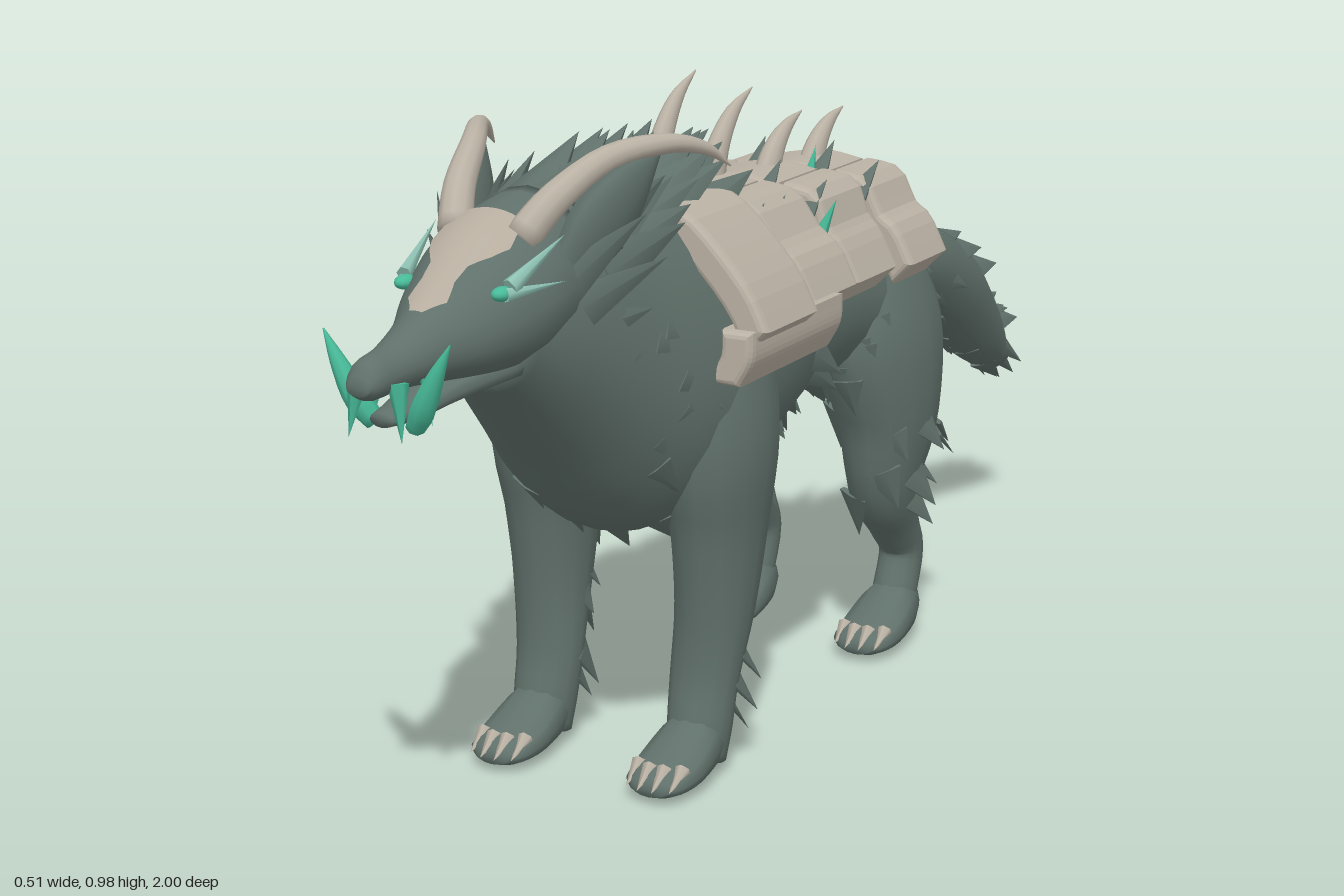
import * as THREE from 'three';
import { mergeGeometries } from 'three/addons/utils/BufferGeometryUtils.js';

const V = (x, y, z) => new THREE.Vector3(x, y, z);
const mat = (name, color, side = THREE.FrontSide) => {
  const m = new THREE.MeshStandardMaterial({ color, side });
  m.name = name;
  return m;
};

// Smooth tube surface through sections [x, y, z, half width, half height]
function surface(secs, axis, taper = 0) {
  const path = new THREE.CatmullRomCurve3(secs.map(s => V(s[0], s[1], s[2])), false, 'catmullrom');
  const size = new THREE.CatmullRomCurve3(secs.map(s => V(s[3], s[4], 0)), false, 'catmullrom');
  return (u, a) => {
    const t = axis ? axis.clone() : path.getTangent(u);
    const right = V(1, 0, 0).addScaledVector(t, -t.x).normalize();
    const up = t.clone().cross(right);
    const r = size.getPoint(u);
    const w = Math.max(r.x, 0.001) * (1 - taper * Math.sin(a));
    return path.getPoint(u)
      .addScaledVector(right, w * Math.cos(a))
      .addScaledVector(up, Math.max(r.y, 0.001) * Math.sin(a));
  };
}

// Closed skin over a surface
function skin(f, rings = 24, sides = 16) {
  const pos = [], idx = [];
  for (let i = 0; i <= rings; i++)
    for (let j = 0; j < sides; j++) pos.push(...f(i / rings, j / sides * Math.PI * 2).toArray());
  const n = (rings + 1) * sides;
  for (const u of [0, 1]) pos.push(...f(u, 0).add(f(u, Math.PI)).multiplyScalar(0.5).toArray());
  for (let j = 0; j < sides; j++) {
    const k = (j + 1) % sides, e = rings * sides;
    for (let i = 0; i < rings; i++) {
      const p = i * sides, q = p + sides;
      idx.push(p + j, p + k, q + j, p + k, q + k, q + j);
    }
    idx.push(n, k, j, n + 1, e + j, e + k);
  }
  const g = new THREE.BufferGeometry();
  g.setAttribute('position', new THREE.Float32BufferAttribute(pos, 3));
  g.setIndex(idx);
  g.computeVertexNormals();
  return g;
}

// Upright sections [z, top, bottom, half width]
const upright = (list, x = 0, dz = 0) =>
  list.map(([z, t, b, w]) => [x, (t + b) / 2, z + dz, w, (t - b) / 2]);

// Flattened pointed tuft from base to tip, lying across the normal
function tuft(base, tip, width, normal, flat = 0.3) {
  const y = tip.clone().sub(base), len = y.length();
  y.normalize();
  const x = y.clone().cross(normal).normalize();
  const g = new THREE.ConeGeometry(width, len, 6, 1);
  g.translate(0, len / 2, 0).scale(1, 1, flat);
  g.applyMatrix4(new THREE.Matrix4().makeBasis(x, y, x.clone().cross(y)).setPosition(base));
  return g;
}

export function createModel() {
  const root = new THREE.Group();
  const fur = mat('fur', 0x60706a), bone = mat('bone', 0xbab1a4), teal = mat('teal', 0x48bb99);
  const boneSheet = mat('face bone', 0xb6ad9f, THREE.DoubleSide);
  const pale = mat('pale teal', 0x92c6b7);
  const add = (name, g, m) => {
    const mesh = new THREE.Mesh(g, m);
    mesh.name = name;
    root.add(mesh);
    return mesh;
  };
  let seed = 7;
  const rnd = () => (seed = (seed * 16807) % 2147483647) / 2147483647;
  const Z = V(0, 0, 1), tufts = [];

  // Torso and neck
  const body = surface(upright([
    [-.44, .64, .50, .06], [-.38, .67, .44, .13], [-.28, .725, .42, .17], [-.12, .765, .45, .165],
    [.02, .78, .44, .165], [.18, .81, .40, .19], [.32, .85, .355, .20], [.42, .87, .355, .185],
    [.50, .88, .405, .158], [.58, .88, .49, .134], [.66, .86, .575, .11], [.73, .83, .645, .08]]), Z, 0.12);
  add('body', skin(body, 44, 28), fur);

  // Head and lower jaw
  const head = surface(upright([
    [.60, .885, .67, .105], [.68, .868, .665, .11], [.74, .845, .66, .10], [.80, .808, .665, .078],
    [.86, .77, .675, .05], [.93, .742, .682, .034], [.98, .733, .68, .027], [1.0, .71, .69, .016]]), Z, 0.1);
  add('head', skin(head, 28, 20), fur);
  add('lowerJaw', skin(surface(upright([
    [.70, .71, .645, .075], [.82, .685, .64, .045], [.90, .665, .635, .03], [.95, .658, .638, .018]]), Z), 10, 12), fur);

  // Bone mask along the forehead
  const maskWidth = [0.5, 0.58, 0.66, 0.55, 0.36, 0.36, 0.52, 0.2];
  const mask = new THREE.PlaneGeometry(1, 1, 10, 28), mp = mask.attributes.position;
  for (let i = 0; i < mp.count; i++) {
    const v = mp.getY(i) + 0.5, k = Math.min(6.999, v * 7), n = Math.floor(k);
    const hw = THREE.MathUtils.lerp(maskWidth[n], maskWidth[n + 1], k - n);
    const p = head(0.16 + v * 0.42, Math.PI / 2 - mp.getX(i) * 2 * hw);
    const out = V(p.x, p.y - 0.74, 0.05).normalize();
    mp.setXYZ(i, ...p.addScaledVector(out, 0.006).toArray());
  }
  mask.computeVertexNormals();
  add('faceMask', mask, boneSheet);

  // Tail with ragged tip
  const tail = surface([
    [0, .59, -.34, .10, .09], [0, .572, -.48, .066, .07], [0, .535, -.62, .072, .076],
    [0, .468, -.75, .072, .077], [0, .375, -.87, .058, .06], [0, .305, -.95, .042, .03]]);
  add('tail', skin(tail, 24, 14), fur);
  for (let i = 0; i < 10; i++) {
    const a = i / 10 * Math.PI * 2, c = Math.cos(a), s = Math.sin(a);
    tufts.push(tuft(V(c * .035, .36 + s * .03, -.88), V(c * .048, .285 + s * .03, -.998 + rnd() * .03), .028, V(c, s, .1)));
  }

  // Fur scattered over a surface, brushed along a direction
  function scatter(f, count, u0, u1, brush, len, keep = () => true) {
    for (let i = 0; i < count; i++) {
      const u = u0 + rnd() * (u1 - u0), a = rnd() * Math.PI * 2, l = len * (0.6 + rnd() * 0.7);
      const p = f(u, a), c = f(u, 0).add(f(u, Math.PI)).multiplyScalar(0.5);
      const out = p.clone().sub(c).normalize();
      if (!keep(p)) continue;
      const dir = brush.clone().addScaledVector(out, 0.2).normalize();
      tufts.push(tuft(p.clone().addScaledVector(out, -0.006), p.clone().addScaledVector(dir, l), l * 0.45, out, 0.22));
    }
  }
  const underPlates = p => p.z < 0.43 && p.z > -0.31 && p.y > 0.58;
  scatter(body, 90, 0.03, 0.8, V(0, -0.5, -0.8), 0.055, p => !underPlates(p));
  scatter(body, 45, 0.02, 0.25, V(0, -0.5, -0.8), 0.065, p => !underPlates(p));
  scatter(tail, 36, 0.05, 0.95, V(0, -0.35, -0.9), 0.06);

  const pawShape = [[.33, .08, .015, .025], [.38, .10, 0, .045], [.45, .066, 0, .054], [.50, .046, .004, .047], [.52, .03, .01, .025]];
  for (const s of [1, -1]) {
    const side = s > 0 ? 'left' : 'right';
    const flip = list => list.map(([x, ...r]) => [x * s, ...r]);
    // Legs
    const front = surface(flip([
      [.12, .64, .30, .075, .11], [.137, .49, .325, .08, .115], [.138, .36, .325, .066, .09],
      [.136, .24, .335, .057, .064], [.13, .14, .355, .052, .043], [.13, .07, .37, .048, .045], [.13, .02, .38, .042, .045]]));
    const hind = surface(flip([
      [.09, .65, -.235, .07, .11], [.12, .52, -.24, .085, .15], [.135, .39, -.24, .075, .115],
      [.135, .28, -.23, .055, .075], [.13, .20, -.275, .042, .045], [.13, .14, -.31, .036, .036],
      [.13, .07, -.285, .036, .036], [.13, .02, -.265, .034, .035]]));
    add(side + 'FrontLeg', skin(front, 24, 14), fur);
    add(side + 'HindLeg', skin(hind, 28, 14), fur);
    scatter(front, 36, 0.15, 0.75, V(s * .1, -0.9, -0.35), 0.06, p => p.z < 0.34);
    scatter(hind, 34, 0.1, 0.5, V(s * .1, -0.8, -0.5), 0.06);

    // Paws and claws
    for (const dz of [0, -.66]) {
      add(side + 'Paw', skin(surface(upright(pawShape, .13 * s, dz), Z), 12, 12), fur);
      for (let i = 0; i < 4; i++) {
        const x = s * .13 + (i - 1.5) * .023, z = .512 + dz - Math.abs(i - 1.5) * .01;
        add('claw', tuft(V(x, .044, z - .015), V(x, .022, z + .026), .0125, V(0, 1, 0), 0.9), bone);
      }
    }

    // Swept horns
    add(side + 'Horn', skin(surface(flip([
      [.05, .835, .70, .024, .026], [.075, .885, .65, .022, .022], [.105, .925, .57, .018, .018],
      [.148, .936, .49, .014, .014], [.175, .922, .43, .009, .009], [.19, .892, .385, .001, .001]])), 20, 10), bone);

    // Ears and cheek ruffs
    add(side + 'Ear', skin(surface(flip([
      [.08, .78, .65, .02, .03], [.10, .83, .60, .028, .058], [.12, .88, .545, .022, .046], [.14, .925, .49, .001, .001]])), 14, 10), fur);
    for (const [b, t, w] of [
      [[.08, .80, .60], [.125, .885, .45], .055], [[.10, .77, .58], [.15, .82, .44], .05],
      [[.09, .77, .66], [.165, .858, .57], .035], [[.09, .73, .65], [.19, .80, .56], .04],
      [[.09, .70, .64], [.15, .72, .53], .045], [[.08, .67, .62], [.125, .645, .52], .045]])
      tufts.push(tuft(V(b[0] * s, b[1], b[2]), V(t[0] * s, t[1], t[2]), w, V(s, .2, .5)));

    // Eyes and pale streaks
    const eye = add(side + 'Eye', new THREE.SphereGeometry(.013, 12, 8), teal);
    eye.position.set(.074 * s, .783, .783);
    eye.scale.set(1, .75, 1.4);
    add('streak', tuft(V(.081 * s, .79, .775), V(.1 * s, .842, .67), .013, V(s, .3, .2), 0.8), pale);
    add('streak', tuft(V(.08 * s, .782, .785), V(.112 * s, .785, .69), .01, V(s, .3, .2), 0.8), pale);

    // Tusks and fangs
    add(side + 'Tusk', skin(surface(flip([
      [.03, .635, .92, .013, .014], [.05, .665, .93, .017, .017],
      [.073, .71, .935, .011, .011], [.095, .752, .935, .001, .001]])), 10, 8), teal);
    add(side + 'Fang', tuft(V(.03 * s, .70, .955), V(.04 * s, .625, .965), .014, Z, 1), teal);
    add(side + 'BackFang', tuft(V(.036 * s, .695, .90), V(.045 * s, .635, .905), .01, Z, 1), teal);
  }

  // Mane
  for (let i = 0; i < 34; i++) {
    const z = .60 - rnd() * .32, a = (rnd() - .5) * 2.2, c = Math.sin(a), h = Math.cos(a);
    const l = .10 + rnd() * .05, y = .72 + .15 * h - (.6 - z) * .06;
    const base = V(c * .125, y, z);
    tufts.push(tuft(base, base.clone().add(V(c * .04, .05 * h + .012, -l)), .043, V(c, h, .3)));
  }
  // Tufts pushing out between the plates
  for (const z of [.235, .17, .035, -.145])
    for (const x of [-.13, -.06, .05, .12])
      tufts.push(tuft(V(x, .78 - Math.abs(x) * .25, z), V(x * 1.1, .84 - Math.abs(x) * .35, z - .06), .022, V(x, 1, .5)));
  add('furTufts', mergeGeometries(tufts), fur);

  // Saddle plates: a curved outer line given thickness towards the body
  function plate(name, line, z0, z1, dx, dy) {
    const outer = new THREE.SplineCurve(line.map(p => new THREE.Vector2(...p))).getPoints(10);
    const inner = outer.map(p => new THREE.Vector2(p.x - dx, p.y - dy)).reverse();
    const g = new THREE.ExtrudeGeometry(new THREE.Shape([...outer, ...inner]), {
      depth: z1 - z0 - .028, bevelThickness: .014, bevelSize: .01, bevelSegments: 3 });
    add(name, g.translate(0, 0, z0 + .014), bone);
  }
  const bands = [[.24, .405, .835, .243, .67], [.06, .215, .81, .217, .67], [-.135, .015, .795, .19, .655], [-.295, -.155, .785, .20, .65]];
  for (const [z0, z1, T, W, Y] of bands) {
    plate('topPlate', [[-.055, T - .012], [0, T - .004], [.055, T - .012]], z0, z1, 0, .022);
    for (const s of [1, -1])
      plate('sidePlate', [[.08, T - .012], [.125, T - .022], [W * .6 + .03, T - .068], [W - .024, Y + .046], [W, Y]]
        .map(([x, y]) => [x * s, y]), z0, z1, .02 * s, .022);
  }
  for (const s of [1, -1])
    plate('shoulderPlate', [[.23, .66], [.228, .63], [.212, .60]].map(([x, y]) => [x * s, y]), .13, .42, .03 * s, 0);

  // Curved spine spikes [base z, base y, tip z, tip y]
  for (const [z, y, tz, ty] of [[.27, .81, .14, .975], [.10, .79, -.035, .925], [-.08, .775, -.20, .865], [-.23, .765, -.345, .85]]) {
    const dz = tz - z, dy = ty - y;
    add('spineSpike', skin(surface([
      [0, y, z, .02, .03], [0, y + dy * .45, z + dz * .2, .016, .02],
      [0, y + dy * .8, z + dz * .55, .01, .012], [0, ty, tz, .001, .001]]), 12, 10), bone);
  }

  // Teal shards between the plates
  for (const [x, y, z] of [[.15, .72, .04], [-.15, .72, .04], [.04, .76, -.143], [-.14, .70, -.143], [0, .72, -.30]])
    add('shard', tuft(V(x, y, z), V(x * 1.15, y + .06, z - .015), .013, V(x, 1, .5), 0.8), teal);

  return root;
}
